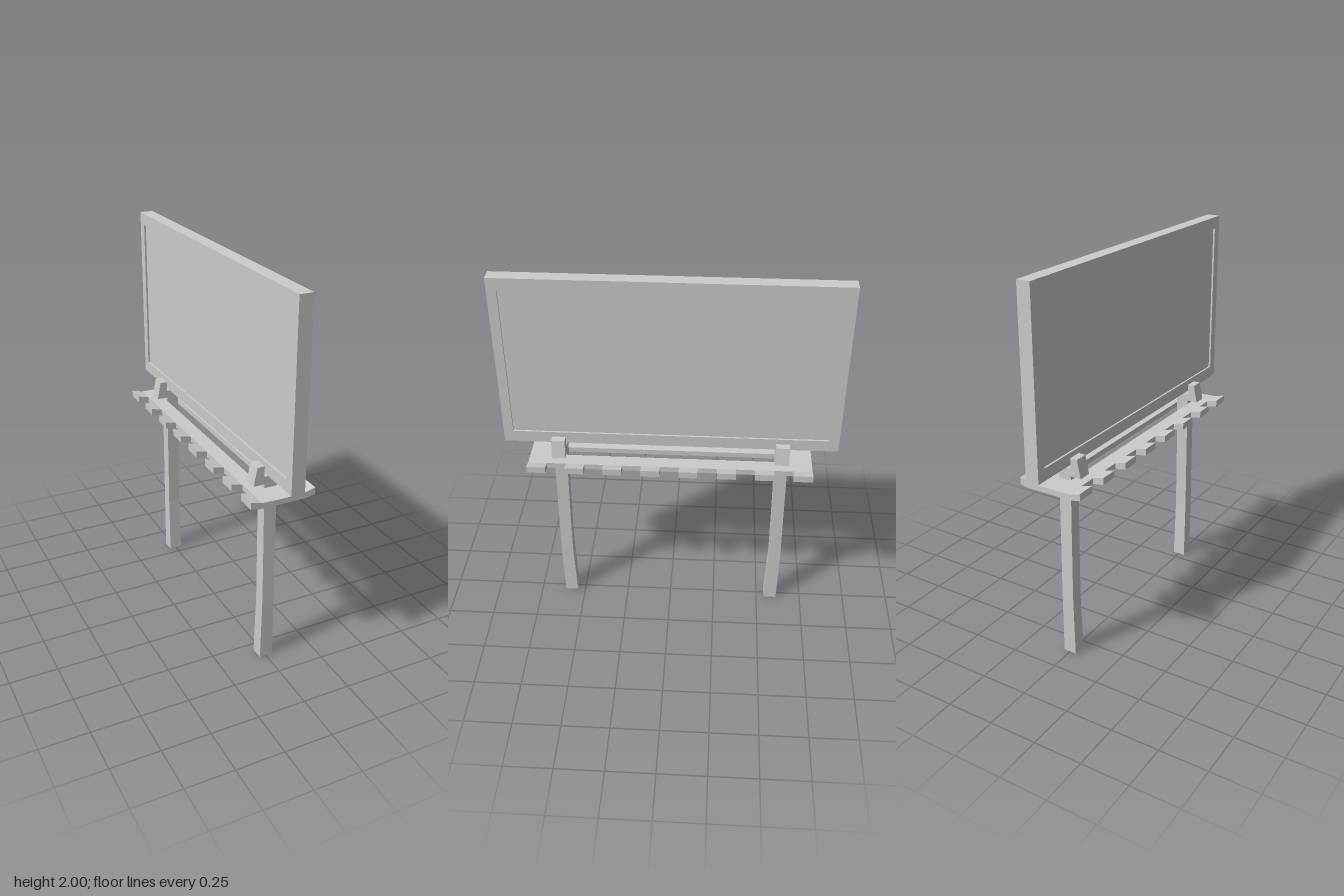
import * as THREE from 'three';

const material = new THREE.MeshStandardMaterial({ color: 0xcccccc, flatShading: true });

function part(name, geometry) {
  const mesh = new THREE.Mesh(geometry, material);
  mesh.name = name;
  return mesh;
}

// Extrude an outline given in x and y along z, from z0 to z1
function prism(name, points, z0, z1) {
  const shape = new THREE.Shape(points.map(([x, y]) => new THREE.Vector2(x, y)));
  const geometry = new THREE.ExtrudeGeometry(shape, { depth: z1 - z0, bevelEnabled: false });
  return part(name, geometry.translate(0, 0, z0));
}

function rectangle(path, halfWidth, bottom, top) {
  path.moveTo(-halfWidth, bottom);
  path.lineTo(halfWidth, bottom);
  path.lineTo(halfWidth, top);
  path.lineTo(-halfWidth, top);
  path.closePath();
  return path;
}

function createBoard() {
  const board = new THREE.Group();
  board.name = 'board';
  // Frame with a shallow recess on both faces
  const outline = rectangle(new THREE.Shape(), 0.862, 1.07, 2);
  outline.holes.push(rectangle(new THREE.Path(), 0.813, 1.133, 1.938));
  const frame = new THREE.ExtrudeGeometry(outline, { depth: 0.07, bevelEnabled: false });
  frame.translate(0, 0, -0.035).rotateY(Math.PI / 2);
  board.add(part('boardFrame', frame));
  const panel = part('boardPanel', new THREE.BoxGeometry(0.05, 0.805, 1.626));
  panel.position.y = 1.5355;
  board.add(panel);
  return board;
}

function createWalkway() {
  const walkway = new THREE.Group();
  walkway.name = 'walkway';
  const end = 0.735, slotEnd = 0.545, slot = 0.033, inner = 0.112, outer = 0.17;
  const teeth = 8, toothWidth = (2 * end) / (2 * teeth - 1);
  for (const s of [1, -1]) {
    // Long plank on each side of the slot
    walkway.add(prism('walkwayPlank',
      [[s * slot, 0.96], [s * inner, 0.96], [s * inner, 0.99], [s * slot, 0.988]], -end, end));
    // Upturned teeth along the outer edge
    for (let i = 0; i < teeth; i++) {
      const z = -end + 2 * i * toothWidth;
      walkway.add(prism('walkwayTooth',
        [[s * inner, 0.96], [s * 0.125, 0.961], [s * outer, 0.969], [s * outer, 1.005], [s * inner, 0.99]],
        z, z + toothWidth));
    }
    // Solid centre beyond each leg
    const z0 = s > 0 ? slotEnd : -end;
    walkway.add(prism('walkwayEnd',
      [[-slot, 0.96], [slot, 0.96], [slot, 0.988], [-slot, 0.988]], z0, z0 + end - slotEnd));
  }
  return walkway;
}

// Square post, slightly waisted and bowed outwards
function createLeg(side) {
  const height = 1.03;
  const geometry = new THREE.BoxGeometry(0.07, height, 0.07, 1, 3, 1).translate(0, height / 2, 0);
  const position = geometry.attributes.position;
  for (let i = 0; i < position.count; i++) {
    const level = Math.round(position.getY(i) / height * 3);
    const width = [1, 0.92, 0.92, 0.96][level];
    position.setXYZ(i, position.getX(i) * width, [0, 0.33, 0.7, height][level],
      position.getZ(i) * width + side * [0.578, 0.586, 0.582, 0.577][level]);
  }
  geometry.computeVertexNormals();
  return part('leg', geometry);
}

// Forked bracket that grips the lower edge of the board
function createBracket(side) {
  const fork = [[-0.092, 1.01], [0.092, 1.01], [0.088, 1.03], [0.073, 1.105], [0.035, 1.105], [0.035, 1.05],
    [-0.035, 1.05], [-0.035, 1.105], [-0.073, 1.105], [-0.088, 1.03]];
  return prism('bracket', fork, side * 0.578 - 0.035, side * 0.578 + 0.035);
}

export function createModel() {
  const model = new THREE.Group();
  model.name = 'billboard';
  model.add(createBoard(), createWalkway());
  for (const side of [1, -1]) model.add(createLeg(side), createBracket(side));
  return model;
}
